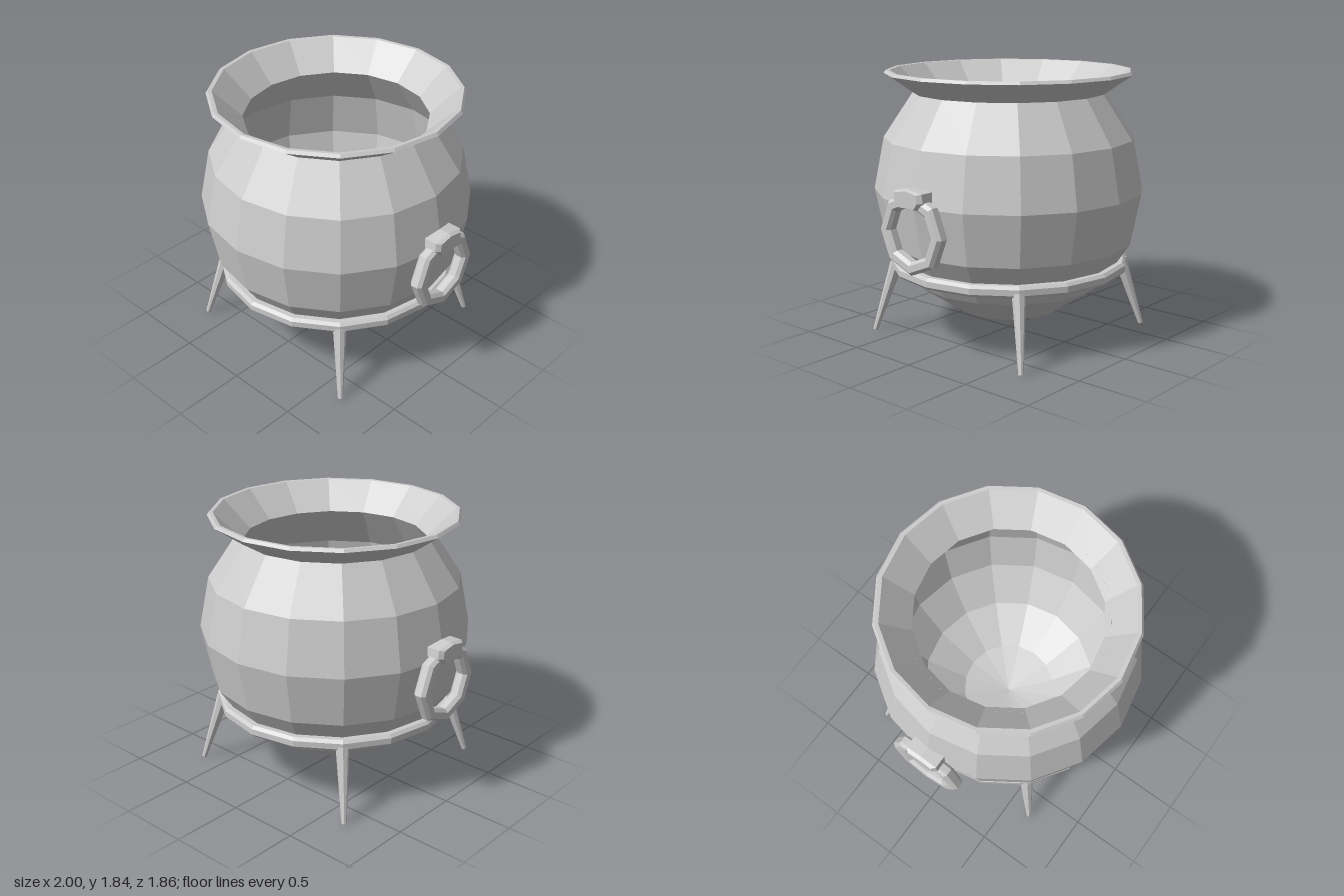
import * as THREE from 'three';

const material = new THREE.MeshStandardMaterial({ color: 0xcccccc, flatShading: true });

function addMesh(parent, name, geometry) {
  const mesh = new THREE.Mesh(geometry, material);
  mesh.name = name;
  parent.add(mesh);
  return mesh;
}

// Closed hoop with a bevelled (octagonal) cross-section, around the y axis
function hoop(radius, halfWidth, halfHeight, bevel, segments) {
  const w = halfWidth, h = halfHeight, b = bevel;
  const section = [
    [w, -h + b], [w, h - b], [w - b, h], [-w + b, h],
    [-w, h - b], [-w, -h + b], [-w + b, -h], [w - b, -h], [w, -h + b],
  ].map(([x, y]) => new THREE.Vector2(radius + x, y));
  return new THREE.LatheGeometry(section, segments);
}

// Points up a sphere from the bottom pole to the neck, 22.5 degrees apart
function bowlProfile(radius) {
  const points = [];
  for (let i = 0; i <= 6; i++) {
    const a = (i * Math.PI) / 8;
    points.push(new THREE.Vector2(radius * Math.sin(a), 1.03 - radius * Math.cos(a)));
  }
  return points;
}

// Tapered leg between two points
function leg(top, foot) {
  const axis = top.clone().sub(foot);
  const geometry = new THREE.CylinderGeometry(0.046, 0.017, axis.length(), 8);
  geometry.applyQuaternion(new THREE.Quaternion().setFromUnitVectors(
    new THREE.Vector3(0, 1, 0), axis.normalize()));
  const mid = top.clone().add(foot).multiplyScalar(0.5);
  return geometry.translate(mid.x, mid.y, mid.z);
}

// Lug that holds a ring: extruded outline, narrowed and dropped on its outer face
function lug() {
  const outline = new THREE.Shape([
    [-0.09, 1.03], [0.09, 1.03], [0.13, 1.08], [0.12, 1.14], [0, 1.16], [-0.12, 1.14], [-0.13, 1.08],
  ].map(([x, y]) => new THREE.Vector2(x, y)));
  const geometry = new THREE.ExtrudeGeometry(outline, { depth: 0.12, steps: 2, bevelEnabled: false });
  const p = geometry.attributes.position;
  for (let i = 0; i < p.count; i++) {
    const z = p.getZ(i);
    if (z > 0.1) {
      p.setX(i, p.getX(i) * 0.78);
      p.setY(i, 1.09 + (p.getY(i) - 1.09) * 0.85);
    } else if (z > 0.03) {
      p.setZ(i, 0.095);
    }
  }
  geometry.rotateY(Math.PI / 2).translate(0.88, 0, 0);
  geometry.computeVertexNormals();
  return geometry;
}

export function createModel() {
  const model = new THREE.Group();
  model.name = 'cauldron';

  // Hollow bowl with flared rim: outside up, over the lip, inside down
  const rim = [[0.85, 1.82], [0.835, 1.84], [0.81, 1.838]].map(([x, y]) => new THREE.Vector2(x, y));
  const profile = [...bowlProfile(0.93), ...rim, ...bowlProfile(0.875).reverse()];
  addMesh(model, 'bowl', new THREE.LatheGeometry(profile, 16));

  // Band that carries the legs
  addMesh(model, 'band', hoop(0.785, 0.045, 0.04, 0.02, 16)).position.y = 0.505;

  // Four splayed legs
  for (const sx of [1, -1]) {
    for (const sz of [1, -1]) {
      addMesh(model, 'leg', leg(
        new THREE.Vector3(0.56 * sx, 0.49, 0.56 * sz),
        new THREE.Vector3(0.672 * sx, 0.007, 0.672 * sz)));
    }
  }

  // Ring handle and lug on each side
  for (const side of [1, -1]) {
    const handle = new THREE.Group();
    handle.name = side > 0 ? 'leftHandle' : 'rightHandle';
    const ring = addMesh(handle, 'ring', hoop(0.228, 0.045, 0.045, 0.022, 8));
    ring.rotation.z = Math.PI / 2;
    ring.position.set(0.935, 0.865, 0);
    addMesh(handle, 'lug', lug());
    handle.rotation.y = side > 0 ? 0 : Math.PI;
    model.add(handle);
  }

  return model;
}
